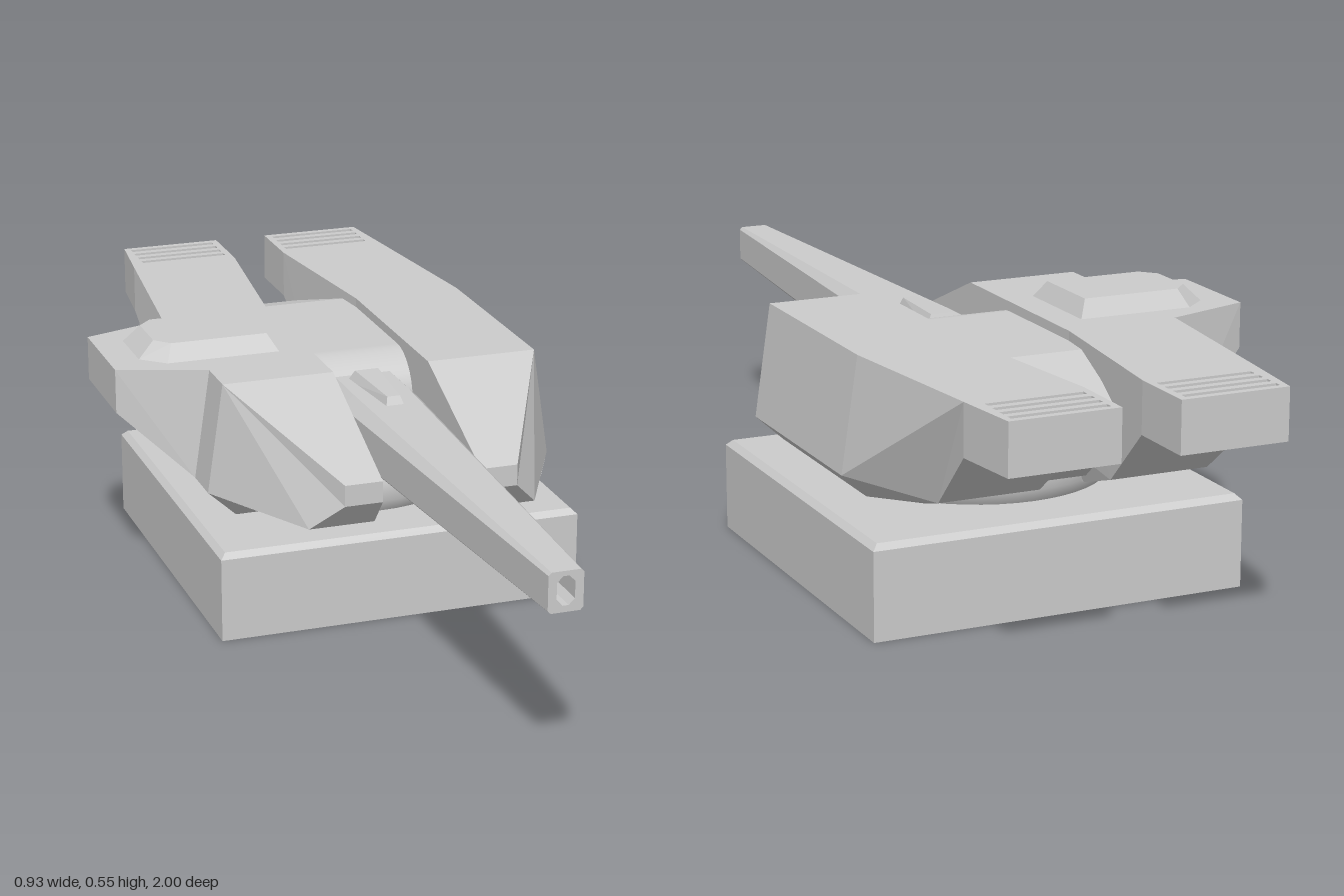
import * as THREE from 'three';
import { ConvexGeometry } from 'three/addons/geometries/ConvexGeometry.js';

const AXIS = 0.065; // turret centre line in x
const ZC = -0.255; // turret ring centre in z
const flat = new THREE.MeshStandardMaterial({ color: 0xcccccc, flatShading: true });
const smooth = new THREE.MeshStandardMaterial({ color: 0xcccccc, side: THREE.DoubleSide });
const thin = new THREE.MeshStandardMaterial({ color: 0xcccccc, flatShading: true, side: THREE.DoubleSide });

function add(parent, name, geometry, material = flat) {
  const mesh = new THREE.Mesh(geometry, material);
  mesh.name = name;
  parent.add(mesh);
  return mesh;
}

// Skin over sections listed front to back, each clockwise as seen from the front
function loft(sections) {
  const pos = [];
  const tri = (a, b, c) => pos.push(...a, ...b, ...c);
  const n = sections[0].length;
  for (let s = 0; s + 1 < sections.length; s++) {
    const a = sections[s], b = sections[s + 1];
    for (let i = 0; i < n; i++) {
      const j = (i + 1) % n;
      tri(a[i], a[j], b[i]);
      tri(a[j], b[j], b[i]);
    }
  }
  const first = sections[0], last = sections[sections.length - 1];
  for (let i = 1; i + 1 < n; i++) {
    tri(first[0], first[i + 1], first[i]);
    tri(last[0], last[i], last[i + 1]);
  }
  const g = new THREE.BufferGeometry();
  g.setAttribute('position', new THREE.Float32BufferAttribute(pos, 3));
  g.computeVertexNormals();
  return g;
}

// Four-corner hull section: inner/outer x at top and bottom, with their y and z
const quad = (xi, xo, yt, zt, bi, bo, yb, zb) =>
  [[xi, yt, zt], [xo, yt, zt], [bo, yb, zb], [bi, yb, zb]];

const convex = (pts) => new ConvexGeometry(pts.map((p) => new THREE.Vector3(...p)));

// Chamfered rectangle for the gun barrel
function octagon(w, y0, y1, c, z) {
  return [[-w + c, y1], [w - c, y1], [w, y1 - c], [w, y0 + c], [w - c, y0], [-w + c, y0], [-w, y0 + c], [-w, y1 - c]]
    .map(([x, y]) => [AXIS + x, y, z]);
}

function rectPath(x0, x1, y0, y1) {
  const p = new THREE.Path();
  p.moveTo(x0, y0).lineTo(x0, y1).lineTo(x1, y1).lineTo(x1, y0).closePath();
  return p;
}

function sideHull() {
  const hull = new THREE.Group();
  add(hull, 'upperHull', loft([
    quad(0.17, 0.25, 0.38, 0.31, 0.17, 0.25, 0.335, 0.31),
    quad(0.17, 0.41, 0.51, 0, 0.17, 0.31, 0.275, 0.26),
    quad(0.17, 0.41, 0.51, 0, 0.17, 0.445, 0.275, 0),
    quad(0.17, 0.41, 0.51, -0.46, 0.17, 0.445, 0.275, -0.46),
    quad(0.125, 0.367, 0.51, -0.85, 0.14, 0.35, 0.275, -0.7),
    quad(0.125, 0.367, 0.51, -0.85, 0.125, 0.367, 0.405, -0.85),
  ]));
  add(hull, 'lowerHull', loft([
    quad(0.17, 0.378, 0.275, 0.13, 0.17, 0.378, 0.275, 0.13),
    quad(0.17, 0.445, 0.275, 0, 0.17, 0.385, 0.22, 0),
    quad(0.17, 0.445, 0.275, -0.46, 0.17, 0.385, 0.22, -0.44),
    quad(0.14, 0.35, 0.275, -0.7, 0.17, 0.3, 0.22, -0.53),
  ]));
  // Tail with slots cut right through
  const s = new THREE.Shape([[0.125, 0.85], [0.367, 0.85], [0.35, 1], [0.125, 1]]
    .map((p) => new THREE.Vector2(...p)));
  for (let i = 0; i < 4; i++) {
    const z = 0.877 + i * 0.031;
    s.holes.push(rectPath(0.14, 0.338, z, z + 0.015));
  }
  const tail = new THREE.ExtrudeGeometry(s, { depth: 0.105, bevelEnabled: false });
  tail.rotateX(-Math.PI / 2).translate(0, 0.405, 0);
  add(hull, 'ventedTail', tail);
  return hull;
}

export function createModel() {
  const model = new THREE.Group();

  // Hollow square base with a bevelled top and a round opening
  const base = new THREE.Group();
  base.name = 'base';
  base.position.set(AXIS, 0, ZC);
  model.add(base);
  const half = 0.395, R = half * Math.SQRT2, top = 0.383;
  add(base, 'baseWalls', new THREE.CylinderGeometry(R, R, 0.18, 4, 1, true, Math.PI / 4).translate(0, 0.09, 0), thin);
  add(base, 'baseBevel', new THREE.CylinderGeometry(top * Math.SQRT2, R, 0.012, 4, 1, true, Math.PI / 4).translate(0, 0.186, 0), thin);
  const plate = new THREE.Shape([[-top, -top], [top, -top], [top, top], [-top, top]].map((p) => new THREE.Vector2(...p)));
  plate.holes.push(new THREE.Path().absarc(0, 0, 0.265, 0, Math.PI * 2, true));
  add(base, 'basePlate', new THREE.ShapeGeometry(plate, 24).rotateX(-Math.PI / 2).translate(0, 0.192, 0), thin);

  // Turning ring under the turret
  const ring = add(model, 'turretRing', new THREE.LatheGeometry(
    [[0.265, 0.19], [0.285, 0.22], [0.285, 0.28], [0, 0.28]].map((p) => new THREE.Vector2(...p)), 48), smooth);
  ring.position.set(AXIS, 0, ZC);
  const floor = add(model, 'turretFloor', new THREE.CircleGeometry(0.28, 48).rotateX(Math.PI / 2), thin);
  floor.position.set(AXIS, 0.225, ZC);

  // Mirrored side hulls
  const left = sideHull();
  left.name = 'leftHull';
  const right = sideHull();
  right.name = 'rightHull';
  right.scale.x = -1;
  right.position.x = 2 * AXIS;
  model.add(left, right);

  // Centre block with sloping rear
  const block = [];
  for (const s of [-1, 1]) {
    for (const [w, y, z] of [[0.105, 0.49, -0.19], [0.105, 0.49, -0.53], [0.06, 0.42, -0.76],
      [0.06, 0.37, -0.76], [0.105, 0.24, -0.55], [0.105, 0.24, -0.19]]) block.push([AXIS + s * w, y, z]);
  }
  add(model, 'centreBlock', convex(block));

  // Round gun mount
  const mount = add(model, 'gunMount', new THREE.CylinderGeometry(0.1, 0.1, 0.21, 40).rotateZ(Math.PI / 2), smooth);
  mount.position.set(AXIS, 0.39, -0.19);

  // Tapered barrel with a recessed bore
  const barrel = loft([
    octagon(0.018, 0.378, 0.436, 0.012, 0.9),
    octagon(0.018, 0.378, 0.436, 0.012, 1),
    octagon(0.035, 0.365, 0.446, 0.006, 1),
    octagon(0.086, 0.32, 0.456, 0.025, 0),
    octagon(0.086, 0.318, 0.456, 0.025, -0.17),
  ]);
  add(model, 'barrel', barrel);
  const sight = [];
  for (const s of [-1, 1]) {
    for (const [w, y, z] of [[0.04, 0.45, -0.1], [0.026, 0.475, -0.09], [0.022, 0.445, 0.095], [0.014, 0.472, 0.08]]) {
      sight.push([AXIS + s * w, y, z]);
    }
  }
  add(model, 'gunSight', convex(sight));

  // Side sponson on the right hull
  const sponson = [];
  for (const [z, zo] of [[-0.095, -0.16], [-0.45, -0.39]]) {
    sponson.push([-0.28, 0.51, z], [-0.315, 0.275, z], [-0.465, 0.51, zo], [-0.465, 0.415, zo]);
  }
  add(model, 'sponson', convex(sponson));

  // Raised hatch
  const hatch = [];
  for (const s of [-1, 1]) {
    for (const [x, y, dz] of [[-0.4, 0.51, 0.065], [-0.35, 0.51, 0.11], [-0.105, 0.51, 0.11],
      [-0.365, 0.545, 0.053], [-0.335, 0.545, 0.085], [-0.125, 0.545, 0.085]]) hatch.push([x, y, -0.275 + s * dz]);
  }
  add(model, 'hatch', convex(hatch));

  return model;
}
